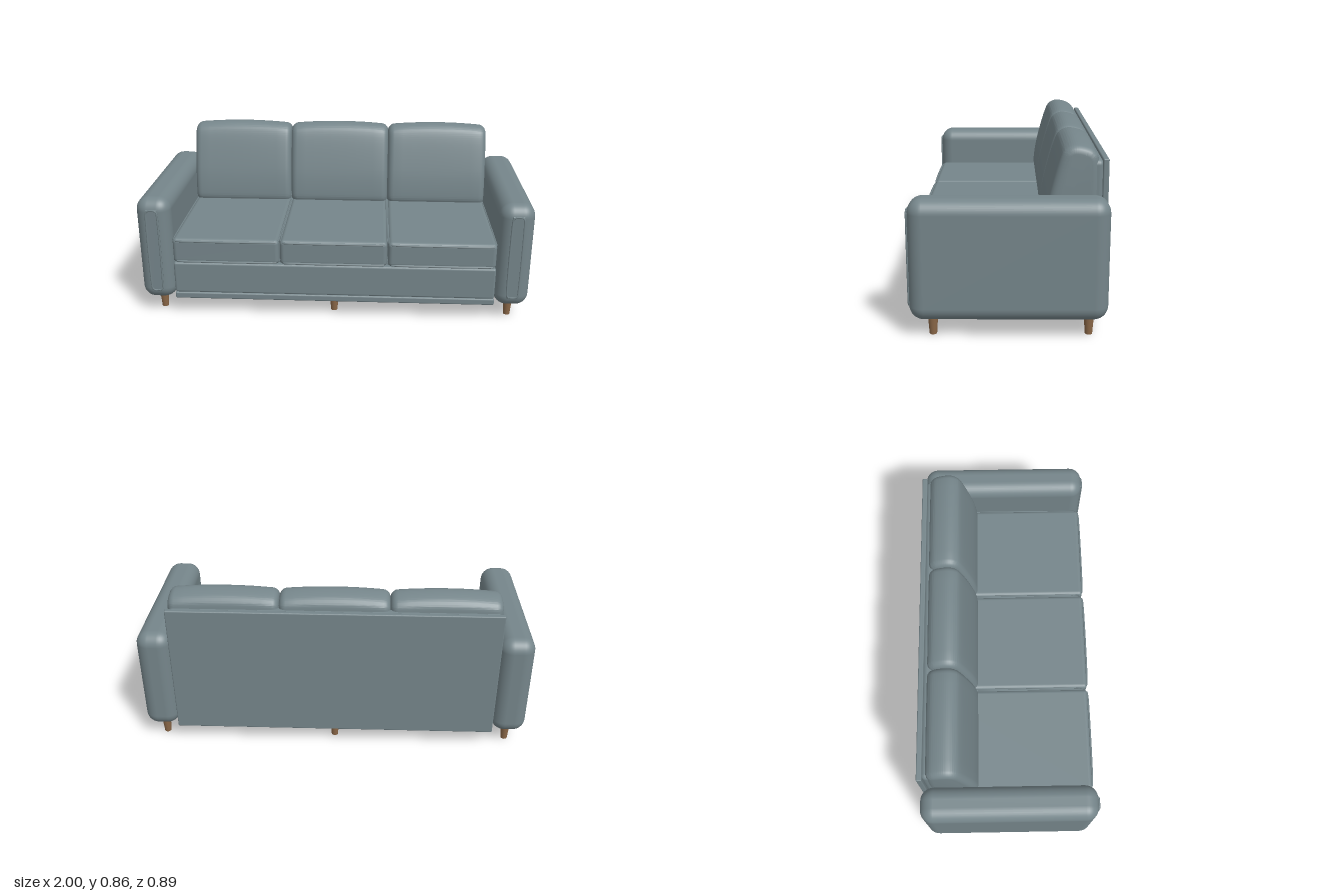
import * as THREE from 'three';
import { toCreasedNormals } from 'three/addons/utils/BufferGeometryUtils.js';
import { RoundedBoxGeometry } from 'three/addons/geometries/RoundedBoxGeometry.js';

const fabric = new THREE.MeshStandardMaterial({ color: 0x75858a });
fabric.name = 'greyFabric';
const wood = new THREE.MeshStandardMaterial({ color: 0x8a6747 });
wood.name = 'wood';

export function createModel() {
  const sofa = new THREE.Group();
  sofa.name = 'sofa';

  function add(name, geometry, material = fabric) {
    const mesh = new THREE.Mesh(geometry, material);
    mesh.name = name;
    sofa.add(mesh);
    return mesh;
  }

  // Rounded box given by its limits on each axis
  function block(name, [x0, x1], [y0, y1], [z0, z1], radius) {
    const mesh = add(name, new RoundedBoxGeometry(x1 - x0, y1 - y0, z1 - z0, 5, radius));
    mesh.position.set((x0 + x1) / 2, (y0 + y1) / 2, (z0 + z1) / 2);
    return mesh;
  }

  // Closed rounded-rectangle loop of piping, lying in the local xy plane
  function piping(name, width, height, corner, radius) {
    const points = [];
    for (let q = 0; q < 4; q++) {
      const sx = q === 0 || q === 3 ? 1 : -1;
      const sy = q < 2 ? 1 : -1;
      for (let i = 0; i <= 4; i++) {
        const a = (q + i / 4) * Math.PI / 2;
        points.push(new THREE.Vector3(
          sx * (width / 2 - corner) + corner * Math.cos(a),
          sy * (height / 2 - corner) + corner * Math.sin(a), 0));
      }
    }
    const path = new THREE.CurvePath();
    points.forEach((p, i) => path.add(new THREE.LineCurve3(p, points[(i + 1) % points.length])));
    const loop = new THREE.CatmullRomCurve3(points, true, 'centripetal');
    return add(name, new THREE.TubeGeometry(loop, 96, radius, 6, true));
  }

  // Leaning cushion: side profile of [z, y] points extruded across x, domed on top
  function leaningCushion(width, profile, bevel, dome) {
    const shape = new THREE.Shape();
    shape.moveTo(...profile[0]);
    shape.splineThru(profile.slice(1).map(p => new THREE.Vector2(...p)));
    shape.closePath();
    const depth = width - 2 * bevel;
    let g = new THREE.ExtrudeGeometry(shape, {
      depth, steps: 10, curveSegments: 28,
      bevelEnabled: true, bevelSize: bevel, bevelThickness: bevel, bevelOffset: -bevel, bevelSegments: 5,
    });
    g.translate(0, 0, -depth / 2);
    g.rotateY(-Math.PI / 2);
    const p = g.attributes.position;
    for (let i = 0; i < p.count; i++) {
      const t = p.getX(i) / (width / 2);
      const rise = Math.max(0, (p.getY(i) - 0.6) / 0.25);
      p.setY(i, p.getY(i) - dome * t * t * rise);
    }
    return toCreasedNormals(g, 0.7);
  }

  // Base with a thin plinth below it
  block('base', [-0.825, 0.825], [0.122, 0.292], [-0.42, 0.425], 0.012);
  block('plinth', [-0.825, 0.825], [0.09, 0.125], [-0.43, 0.43], 0.008);

  // Upright back frame and flat rear panel
  block('backFrame', [-0.815, 0.815], [0.28, 0.78], [-0.425, -0.36], 0.025);
  block('backPanel', [-0.825, 0.825], [0.092, 0.787], [-0.445, -0.418], 0.006);

  // Seat and back cushions
  const backProfile = [
    [-0.165, 0.425], [-0.158, 0.46], [-0.172, 0.57], [-0.205, 0.71], [-0.236, 0.808],
    [-0.262, 0.842], [-0.3, 0.855], [-0.35, 0.846], [-0.385, 0.825], [-0.402, 0.78],
    [-0.405, 0.62], [-0.4, 0.47], [-0.38, 0.42], [-0.28, 0.415],
  ];
  const backGeometry = leaningCushion(0.548, backProfile, 0.035, 0.014);
  for (const x of [-0.549, 0, 0.549]) {
    block('seatCushion', [x - 0.272, x + 0.272], [0.294, 0.428], [-0.4, 0.434], 0.022);
    for (const y of [0.305, 0.416]) {
      const seam = piping('seatPiping', 0.536, 0.83, 0.025, 0.006);
      seam.rotation.x = Math.PI / 2;
      seam.position.set(x, y, 0.017);
    }
    add('backCushion', backGeometry).position.x = x;
  }

  // Arms with a narrow piped panel on the front
  for (const s of [-1, 1]) {
    const x = s * 0.911;
    block('arm', [x - 0.088, x + 0.088], [0.083, 0.638], [-0.444, 0.441], 0.066);
    const panel = block('armFrontPanel', [x - 0.03, x + 0.03], [0.14, 0.585], [0.436, 0.445], 0.004);
    panel.name = 'armFrontPanel';
    piping('armPiping', 0.056, 0.44, 0.018, 0.005).position.set(x, 0.3625, 0.443);
  }

  // Tapered legs under the arms and the middle
  const legGeometry = new THREE.CylinderGeometry(0.024, 0.017, 0.1, 20);
  for (const x of [-0.908, 0, 0.908]) {
    for (const z of [0.34, -0.362]) {
      add('leg', legGeometry, wood).position.set(x, 0.05, z);
    }
  }
  return sofa;
}
